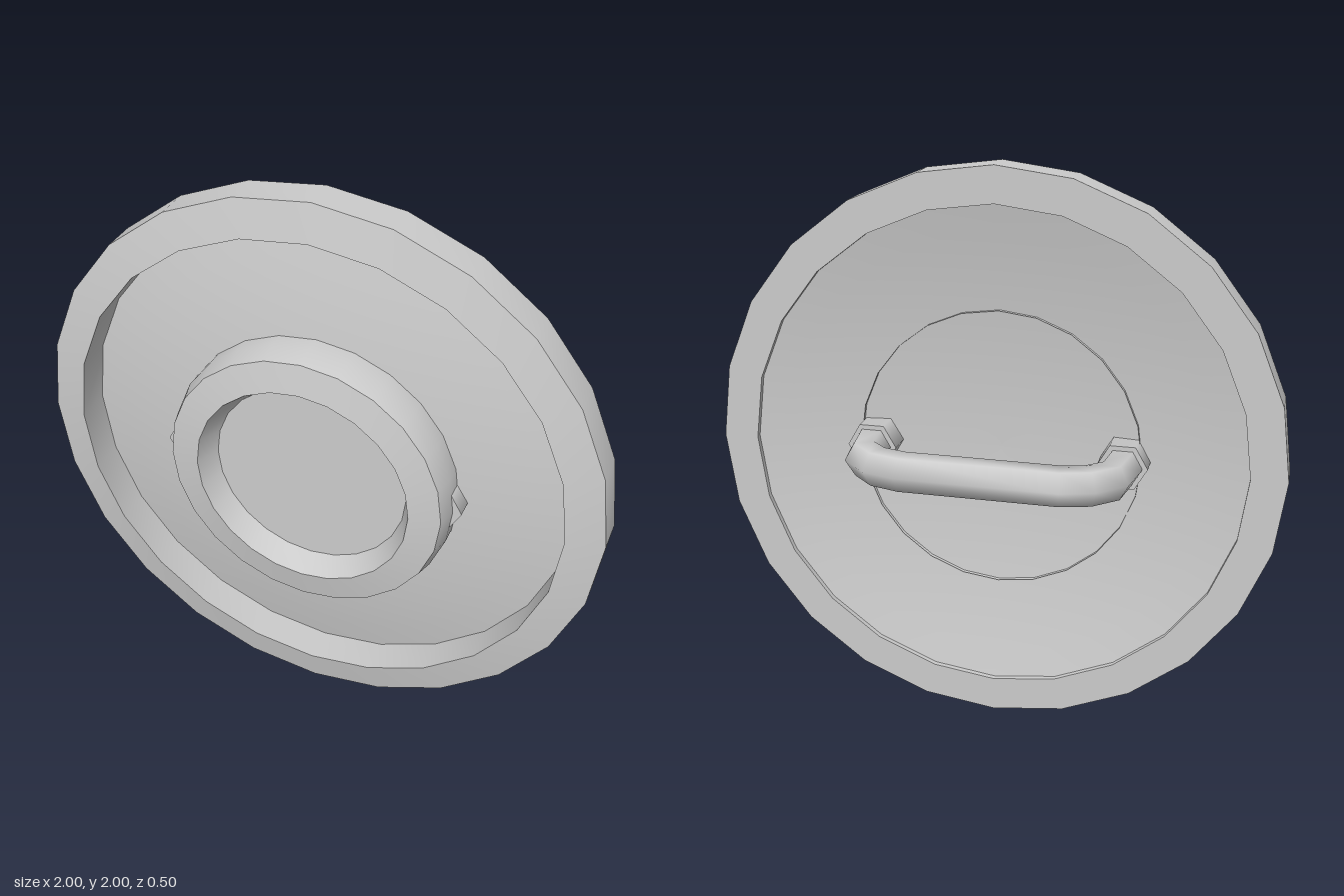
import * as THREE from 'three';
import { toCreasedNormals, mergeVertices } from 'three/addons/utils/BufferGeometryUtils.js';

const SIDES = 24;

export function createModel() {
  const group = new THREE.Group();
  const solid = new THREE.MeshStandardMaterial({ color: 0xcccccc });
  const thin = new THREE.MeshStandardMaterial({ color: 0xcccccc, side: THREE.DoubleSide });

  const add = (name, geometry, material = solid) => {
    const mesh = new THREE.Mesh(geometry, material);
    mesh.name = name;
    mesh.position.y = 1;
    group.add(mesh);
    return mesh;
  };

  // Turns a [radius, z] profile around the z axis
  const turned = (profile, crease) => {
    const g = new THREE.LatheGeometry(profile.map(([r, z]) => new THREE.Vector2(r, z)), SIDES);
    g.rotateX(Math.PI / 2);
    return crease ? toCreasedNormals(g, crease) : g;
  };

  // Outer rim with a shallow front bevel
  add('rim', turned([[0.875, 0.02], [1, 0.02], [1, 0.14], [0.875, 0.168], [0.875, 0.02]], 0.5));

  // Thin domed face, bulging gently forward
  const dome = [];
  for (let i = 0; i <= 8; i++) {
    const r = 0.878 * (1 - i / 8);
    dome.push([r, 0.138 - 0.128 * r * r]);
  }
  add('domedFace', turned(dome), thin);

  // Raised ring in the middle of the face, with a recessed flat plate
  add('boss', turned([[0.503, 0.09], [0.503, 0.165], [0.485, 0.232], [0.38, 0.252], [0.343, 0.168], [0, 0.168]], 0.5), thin);

  // Hexagonal grip, swept along a bent path behind the face
  const half = [[0.45, 0.14], [0.445, 0.02], [0.43, -0.095], [0.363, -0.157], [0.27, -0.183]];
  const path = [...half, ...half.map(([x, z]) => [-x, z]).reverse()]
    .map(([x, z]) => new THREE.Vector3(x, 0, z));
  const last = path.length - 1;
  const grip = new THREE.CylinderGeometry(0.069, 0.069, 1, 6, last, true);
  const pos = grip.attributes.position;
  for (let i = 0; i < pos.count; i++) {
    const k = Math.round((pos.getY(i) + 0.5) * last);
    const before = path[k].clone().sub(path[Math.max(k - 1, 0)]).normalize();
    const after = path[Math.min(k + 1, last)].clone().sub(path[k]).normalize();
    const t = before.add(after).normalize();
    const across = pos.getZ(i);
    pos.setXYZ(i, path[k].x + t.z * across, pos.getX(i), path[k].z - t.x * across);
  }
  grip.deleteAttribute('uv');
  grip.deleteAttribute('normal');
  const smoothGrip = mergeVertices(grip);
  smoothGrip.computeVertexNormals();
  add('grip', smoothGrip, thin);

  // Hexagonal collars that pass through the face and hold the grip
  for (const side of [1, -1]) {
    const collar = new THREE.CylinderGeometry(0.088, 0.088, 0.135, 6);
    collar.rotateY(Math.PI / 2);
    collar.rotateX(Math.PI / 2);
    const name = side > 0 ? 'leftCollar' : 'rightCollar';
    add(name, collar).position.set(side * 0.445, 1, 0.0975);
  }
  return group;
}
